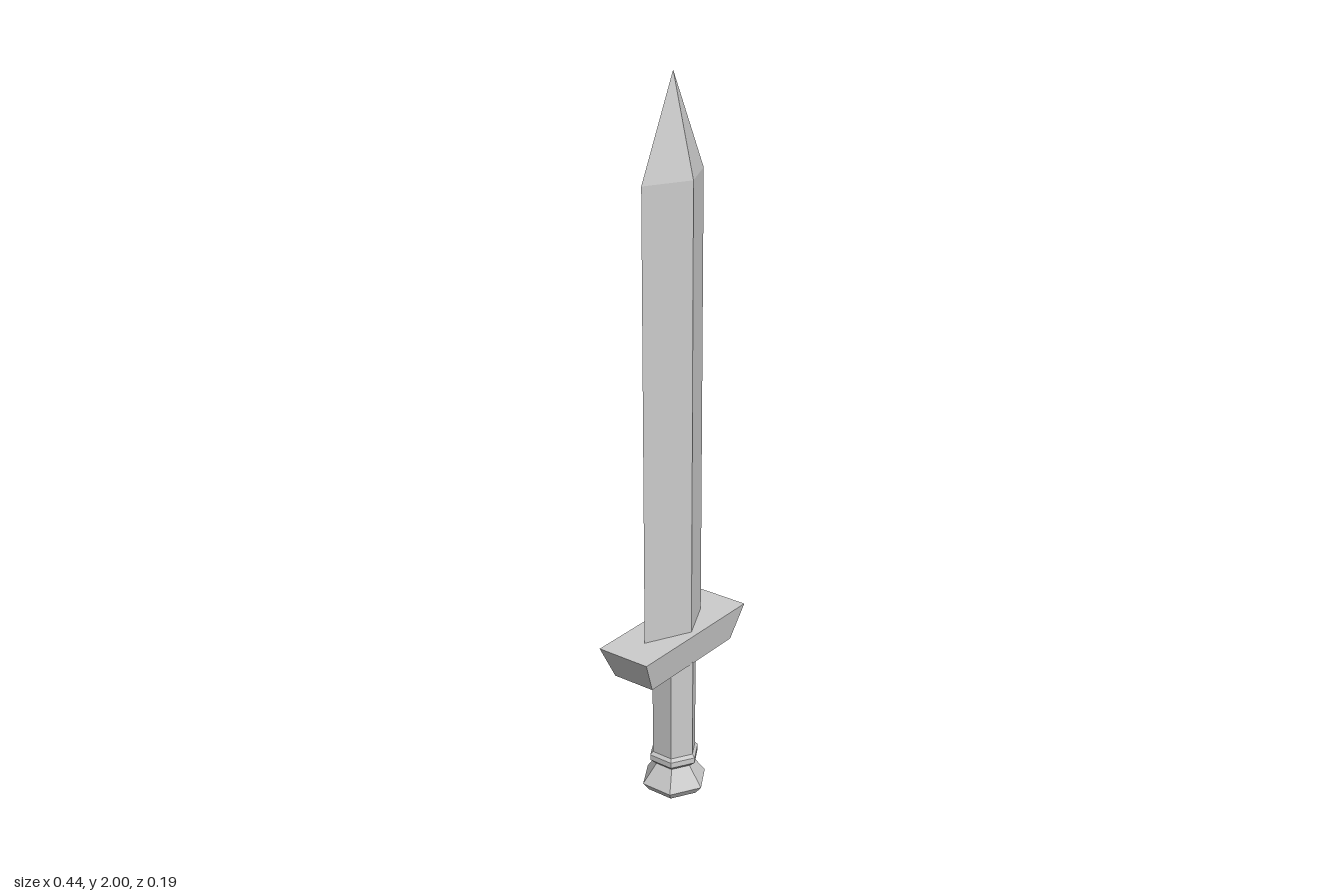
import * as THREE from 'three';

const material = new THREE.MeshStandardMaterial({ color: 0xcccccc, flatShading: true });

// Faceted solid turned from [radius, height] pairs, listed bottom to top
function turned(name, profile, sides) {
  const points = profile.map(([r, y]) => new THREE.Vector2(r, y));
  const mesh = new THREE.Mesh(new THREE.LatheGeometry(points, sides), material);
  mesh.name = name;
  return mesh;
}

// Moves every vertex of a geometry by a rule
function reshape(geometry, rule) {
  const pos = geometry.attributes.position;
  const v = new THREE.Vector3();
  for (let i = 0; i < pos.count; i++) {
    rule(v.fromBufferAttribute(pos, i));
    pos.setXYZ(i, v.x, v.y, v.z);
  }
  geometry.computeVertexNormals();
}

export function createModel() {
  const group = new THREE.Group();
  group.name = 'sword';

  // Diamond-section blade; its cutting edges and tip sit slightly behind centre
  const blade = turned('blade', [[0, 0.52], [1, 0.52], [1, 1.745], [0, 2]], 4);
  reshape(blade.geometry, (v) => {
    v.x *= 0.124;
    v.z = Math.abs(v.z) < 0.01 ? -0.003 : v.z * 0.058;
  });
  group.add(blade);

  // Crossguard, narrower at the bottom
  const guard = new THREE.Mesh(new THREE.BoxGeometry(0.436, 0.095, 0.155), material);
  guard.name = 'crossguard';
  reshape(guard.geometry, (v) => {
    if (v.y < 0) {
      v.x *= 0.8;
      v.z *= 0.8;
    }
  });
  guard.position.set(0, 0.4775, -0.001);
  group.add(guard);

  // Hexagonal grip, collar and pommel
  group.add(turned('grip', [[0, 0.13], [0.063, 0.13], [0.063, 0.435], [0, 0.435]], 6));
  group.add(turned('collar', [
    [0, 0.108], [0.058, 0.11], [0.071, 0.122], [0.071, 0.138], [0.063, 0.147], [0, 0.147],
  ], 6));
  group.add(turned('pommel', [
    [0, 0], [0.03, 0.006], [0.075, 0.027], [0.093, 0.05], [0.048, 0.113], [0, 0.113],
  ], 6));

  return group;
}
